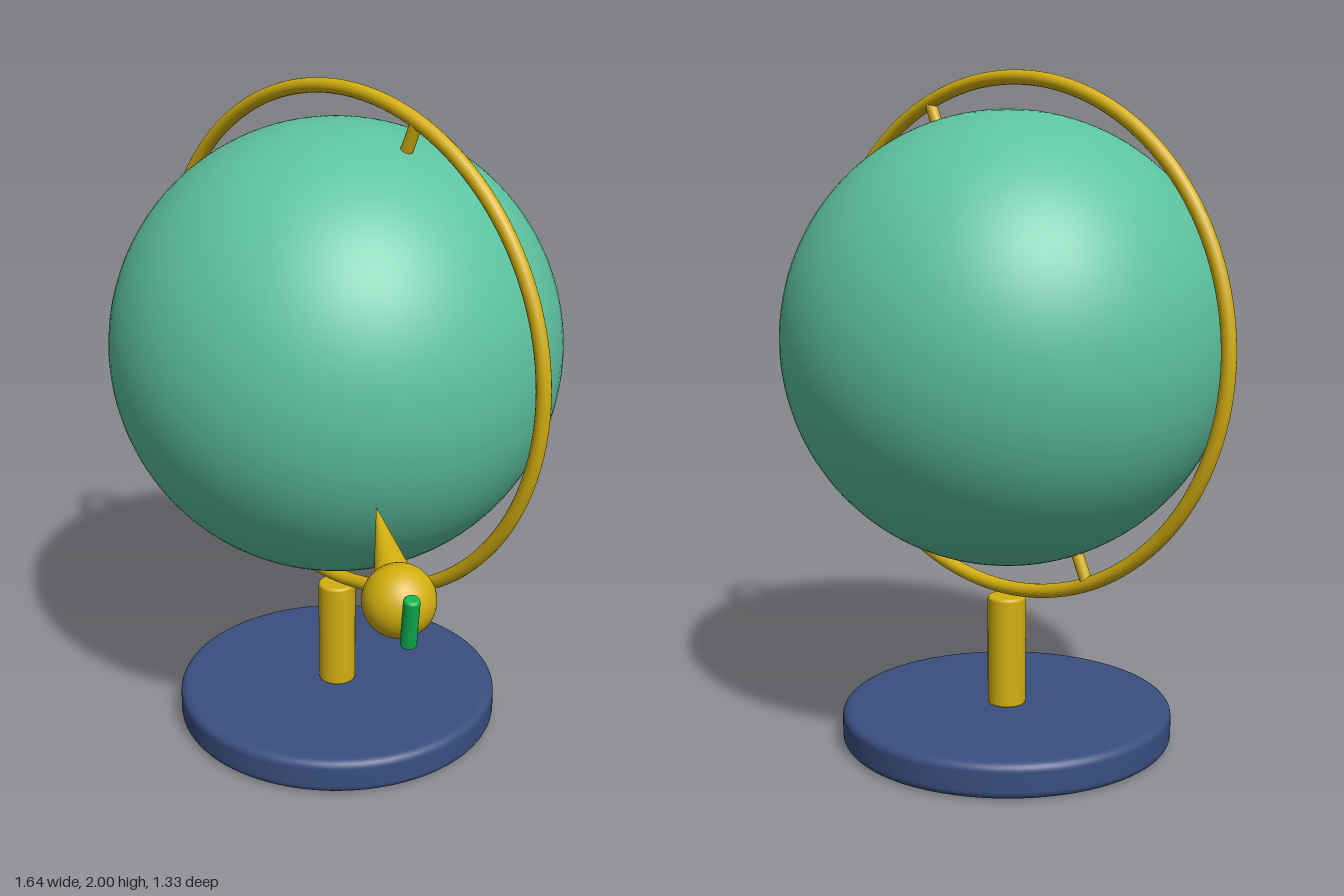
import * as THREE from 'three';

const material = (name, color) => {
  const m = new THREE.MeshStandardMaterial({ color });
  m.name = name;
  return m;
};

// Upright disc or rod with rounded rims, centred on its own middle
function roundedCylinder(radius, height, bevel, segments = 64) {
  const h = height / 2;
  const top = [];
  for (let i = 0; i <= 6; i++) {
    const a = (i / 6) * Math.PI / 2;
    top.push([radius - bevel + bevel * Math.cos(a), h - bevel + bevel * Math.sin(a)]);
  }
  top.push([(radius - bevel) * 0.97, h], [0, h]);
  const bottom = top.map(([r, y]) => [r, -y]).reverse();
  const points = [...bottom, ...top].map(([r, y]) => new THREE.Vector2(r, y));
  return new THREE.LatheGeometry(points, segments);
}

export function createModel() {
  const root = new THREE.Group();
  root.name = 'deskGlobe';
  const seaGreen = material('seaGreen', 0x5dc3a1);
  const gold = material('gold', 0xd4af10);
  const navy = material('navy', 0x3a4f80);
  const green = material('brightGreen', 0x10b450);
  const UP = new THREE.Vector3(0, 1, 0);
  const center = new THREE.Vector3(-0.045, 1.225, 0);

  const add = (name, geometry, mat, position, direction = UP) => {
    const mesh = new THREE.Mesh(geometry, mat);
    mesh.name = name;
    mesh.position.copy(position);
    mesh.quaternion.setFromUnitVectors(UP, direction);
    root.add(mesh);
    return mesh;
  };
  const along = (dir, t) => center.clone().addScaledVector(dir, t);

  // Stand
  add('base', roundedCylinder(0.5, 0.106, 0.025, 96), navy, new THREE.Vector3(center.x, 0.055, 0));
  add('post', roundedCylinder(0.058, 0.34, 0.01, 48), gold, new THREE.Vector3(center.x, 0.275, 0));

  // Globe and the ring that carries it
  add('globe', new THREE.SphereGeometry(0.666, 96, 64), seaGreen, center);
  add('meridianRing', new THREE.TorusGeometry(0.755, 0.021, 20, 128), gold, center);

  // Tilted axle pins at both poles
  const tilt = THREE.MathUtils.degToRad(23.5);
  const axis = new THREE.Vector3(Math.sin(tilt), Math.cos(tilt), 0);
  for (const [name, side] of [['upperAxlePin', 1], ['lowerAxlePin', -1]]) {
    add(name, new THREE.CylinderGeometry(0.018, 0.018, 0.11, 20), gold, along(axis, side * 0.7), axis);
  }

  // Marker: cone touching the globe, ball behind it, small rod outside
  const out = new THREE.Vector3(0.742, -0.386, 0.548).normalize();
  add('markerCone', new THREE.ConeGeometry(0.052, 0.25, 40), gold, along(out, 0.787), out.clone().negate());
  add('markerBall', new THREE.SphereGeometry(0.095, 40, 28), gold, along(out, 0.983));
  add('markerRod', roundedCylinder(0.021, 0.148, 0.009, 28), green,
    new THREE.Vector3(0.787, 0.851, 0.615), new THREE.Vector3(0.185, 1, 0.135).normalize());

  return root;
}
